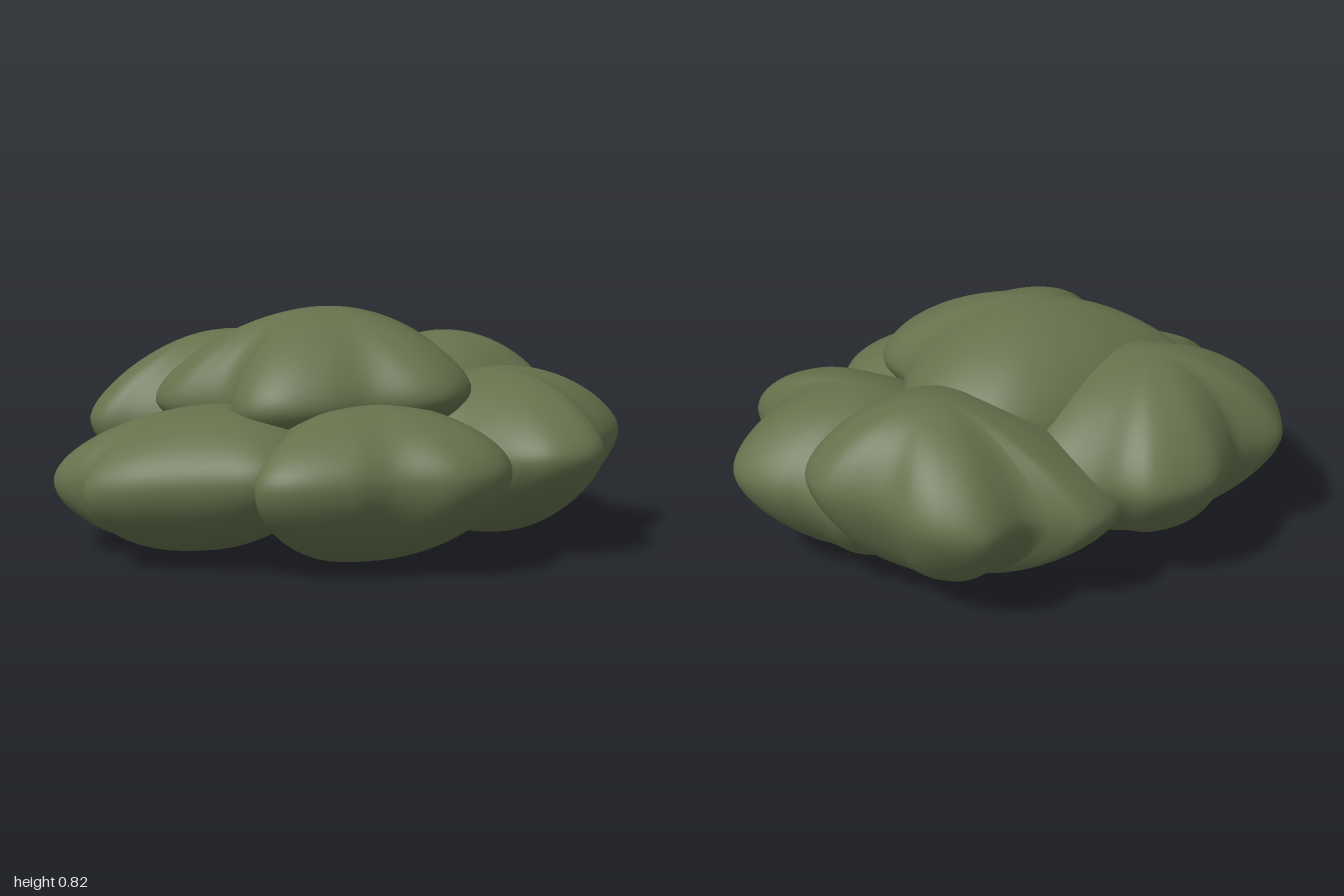
import * as THREE from 'three';
import { mergeVertices } from 'three/addons/utils/BufferGeometryUtils.js';

// Lobed cushion: a scalloped rim (x, z pairs) domed above and below.
// rim = height of the rim at the centre, tilt = rise of the rim per unit of x and z,
// cone = how far the flanks go from elliptical (0) towards conical (1).
function cushion({ centre: [cx, cz], rim, top, bottom, tilt: [tx, tz], cone, outline }) {
  const pts = [];
  for (let i = 0; i < outline.length; i += 2) pts.push(new THREE.Vector2(outline[i] - cx, outline[i + 1] - cz));
  if (!THREE.ShapeUtils.isClockWise(pts)) pts.reverse();
  const curve = new THREE.CatmullRomCurve3(pts.map((p) => new THREE.Vector3(p.x, 0, p.y)), true, 'centripetal');
  const mean = pts.reduce((sum, p) => sum + p.length(), 0) / pts.length;
  const segs = 96, rows = 36, pos = [], idx = [];
  for (let j = 0; j <= rows; j++) {
    const a = Math.PI * (j / rows - 0.5);
    const r = j === 0 || j === rows ? 0 : Math.cos(a);
    const s = Math.abs(Math.sin(a)), rise = THREE.MathUtils.lerp(s, Math.pow(s, 2.2), cone);
    const h = ((a > 0 ? top : bottom) - rim) * rise;
    for (let i = 0; i < segs; i++) {
      const p = curve.getPoint(i / segs);
      // scallops fade towards the middle
      p.multiplyScalar(r * THREE.MathUtils.lerp(mean / p.length(), 1, Math.sqrt(r)));
      pos.push(cx + p.x, rim + h + tx * p.x + tz * p.z, cz + p.z);
      if (j < rows) {
        const A = j * segs + i, B = j * segs + (i + 1) % segs, C = A + segs, D = B + segs;
        if (j > 0) idx.push(A, B, D);
        if (j < rows - 1) idx.push(A, D, C);
      }
    }
  }
  const raw = new THREE.BufferGeometry();
  raw.setAttribute('position', new THREE.Float32BufferAttribute(pos, 3));
  raw.setIndex(idx);
  const geo = mergeVertices(raw, 1e-5);
  geo.computeVertexNormals();
  return geo;
}

const clumps = {
  frontClump: {
    centre: [-0.02, 0.31], rim: 0.3, top: 0.535, bottom: 0, tilt: [0.03, 0.04], cone: 0.18,
    outline: [-0.43, 0.61, -0.35, 0.68, -0.15, 0.72, 0, 0.705, 0.2, 0.75, 0.36, 0.68, 0.43, 0.55,
      0.41, 0.42, 0.38, 0.3, 0.4, 0.1, 0.25, -0.07, 0, -0.12, -0.25, -0.07, -0.4, 0.12, -0.38, 0.35, -0.4, 0.5],
  },
  rightClump: {
    centre: [-0.5, 0.11], rim: 0.28, top: 0.51, bottom: 0.02, tilt: [0.07, 0.06], cone: 0.2,
    outline: [-0.85, -0.32, -0.97, -0.22, -1, -0.08, -0.97, 0.02, -0.89, 0.12, -0.9, 0.2, -0.935, 0.28,
      -0.85, 0.37, -0.65, 0.47, -0.4, 0.58, -0.25, 0.53, -0.14, 0.36, -0.14, 0.1, -0.1, -0.1, -0.25, -0.3,
      -0.5, -0.36, -0.7, -0.37],
  },
  leftClump: {
    centre: [0.54, 0.02], rim: 0.33, top: 0.6, bottom: 0.015, tilt: [0.08, 0.02], cone: 0.38,
    outline: [0.83, -0.22, 0.92, -0.14, 0.98, -0.05, 1, 0.03, 0.97, 0.11, 0.9, 0.2, 0.83, 0.26, 0.79, 0.34,
      0.79, 0.45, 0.72, 0.53, 0.58, 0.555, 0.48, 0.51, 0.38, 0.42, 0.3, 0.33, 0.2, 0.25, 0.13, 0.05,
      0.18, -0.17, 0.37, -0.34, 0.58, -0.42, 0.75, -0.36],
  },
  backLeftClump: {
    centre: [0.41, -0.32], rim: 0.4, top: 0.695, bottom: 0.06, tilt: [0.12, 0], cone: 0.45,
    outline: [-0.08, -0.67, 0.06, -0.745, 0.15, -0.71, 0.2, -0.685, 0.26, -0.685, 0.42, -0.755, 0.55, -0.7,
      0.62, -0.62, 0.67, -0.5, 0.82, -0.36, 0.83, -0.22, 0.78, -0.14, 0.68, -0.07, 0.57, 0, 0.42, 0.06,
      0.2, 0.06, 0, -0.06, -0.1, -0.3, -0.15, -0.5],
  },
  backRightClump: {
    centre: [-0.34, -0.33], rim: 0.41, top: 0.72, bottom: 0.08, tilt: [0, 0], cone: 0.45,
    outline: [0.19, -0.48, 0.13, -0.57, 0.02, -0.64, -0.08, -0.68, -0.15, -0.74, -0.28, -0.755, -0.4, -0.73,
      -0.5, -0.64, -0.56, -0.58, -0.63, -0.57, -0.74, -0.56, -0.8, -0.47, -0.85, -0.32, -0.82, -0.23,
      -0.72, -0.18, -0.62, -0.12, -0.47, -0.01, -0.2, 0.05, 0.03, -0.04, 0.15, -0.22, 0.2, -0.36],
  },
  topClump: {
    centre: [-0.09, -0.02], rim: 0.53, top: 0.82, bottom: 0.3, tilt: [0.06, 0], cone: 0.4,
    outline: [0.08, -0.44, -0.1, -0.43, -0.28, -0.4, -0.45, -0.33, -0.63, -0.2, -0.61, -0.05, -0.52, 0.03,
      -0.44, 0.09, -0.42, 0.16, -0.44, 0.24, -0.4, 0.34, -0.3, 0.4, -0.15, 0.415, 0, 0.395, 0.15, 0.43,
      0.25, 0.42, 0.34, 0.34, 0.38, 0.25, 0.36, 0.12, 0.42, -0.05, 0.42, -0.17, 0.36, -0.29, 0.24, -0.4],
  },
};

export function createModel() {
  const group = new THREE.Group();
  group.name = 'bush';
  const leaf = new THREE.MeshStandardMaterial({ color: 0x65714c });
  leaf.name = 'leaf green';
  for (const [name, spec] of Object.entries(clumps)) {
    const mesh = new THREE.Mesh(cushion(spec), leaf);
    mesh.name = name;
    group.add(mesh);
  }
  return group;
}
